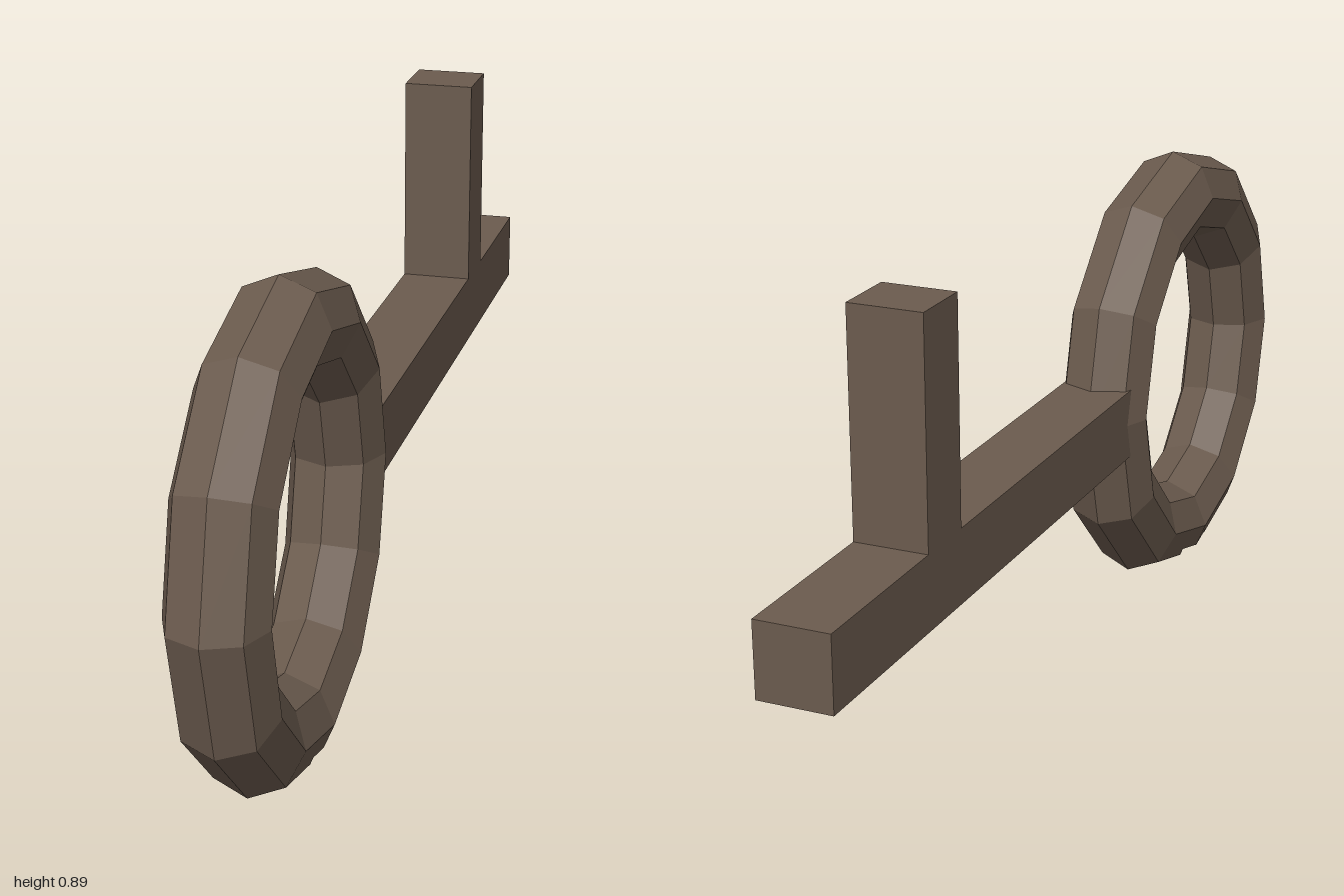
import * as THREE from 'three';

const material = new THREE.MeshStandardMaterial({ color: 0x6b5b4e, flatShading: true });
const CY = 0.425, CZ = 0.5625;       // centre of the ring
const R = 0.351, T = 0.0865;         // ring radius and tube radius
const HALF = 0.067;                  // half width of shaft and notch

// Tube cross-section as [x, radius]; two extra points sit where the notch meets the sides.
function crossSection() {
  const p = [];
  for (let i = 0; i < 8; i++) {
    const a = i * Math.PI / 4;
    p.push([T * Math.cos(a), R + T * Math.sin(a)]);
  }
  const cut = R + T * Math.SQRT1_2 * (T - HALF) / (T * (1 - Math.SQRT1_2));
  p.splice(4, 0, [-HALF, cut]);
  p.splice(1, 0, [HALF, cut]);
  return p;
}

// Twelve-sided ring with a rectangular notch underneath, lofted through its sections.
function ringGeometry() {
  const section = crossSection();
  const roof = -0.36;                // notch roof relative to the ring centre
  const atAngle = a => section.map(([x, r]) => [x, -r * Math.cos(a), r * Math.sin(a)]);
  const atZ = z => section.map(([x, r]) => [x, -r + Math.abs(z) * Math.tan(Math.PI / 12), z]);
  const notched = z => atZ(z).map((p, i) =>
    i >= 2 && i <= 4 ? [(3 - i) * HALF, roof, z] : p);

  const front = 0.0635, back = -0.081;
  const loops = [notched(0), notched(front), atZ(front)];
  for (let i = 1; i < 12; i++) loops.push(atAngle(i * Math.PI / 6));
  loops.push(atZ(back), notched(back));

  const n = section.length, pos = [], index = [];
  loops.forEach(l => l.forEach(([x, y, z]) => pos.push(x, y + CY, z + CZ)));
  for (let j = 0; j < loops.length; j++) {
    const k = (j + 1) % loops.length;
    for (let i = 0; i < n; i++) {
      const m = (i + 1) % n;
      const a = j * n + i, b = j * n + m, c = k * n + m, d = k * n + i;
      index.push(a, d, b, b, d, c);
    }
  }
  const g = new THREE.BufferGeometry();
  g.setAttribute('position', new THREE.Float32BufferAttribute(pos, 3));
  g.setIndex(index);
  const flat = g.toNonIndexed();
  flat.computeVertexNormals();
  return flat;
}

function bar(name, y0, y1, z0, z1) {
  const mesh = new THREE.Mesh(new THREE.BoxGeometry(HALF * 2, y1 - y0, z1 - z0), material);
  mesh.position.set(0, (y0 + y1) / 2, (z0 + z1) / 2);
  mesh.name = name;
  return mesh;
}

export function createModel() {
  const group = new THREE.Group();
  group.name = 'key';

  const ring = new THREE.Mesh(ringGeometry(), material);
  ring.material.side = THREE.DoubleSide;
  ring.name = 'ringHandle';

  group.add(
    ring,
    bar('shaft', 0.358, 0.492, -1, 0.2),
    bar('tooth', 0.48, 0.892, -0.68, -0.56)
  );
  return group;
}
